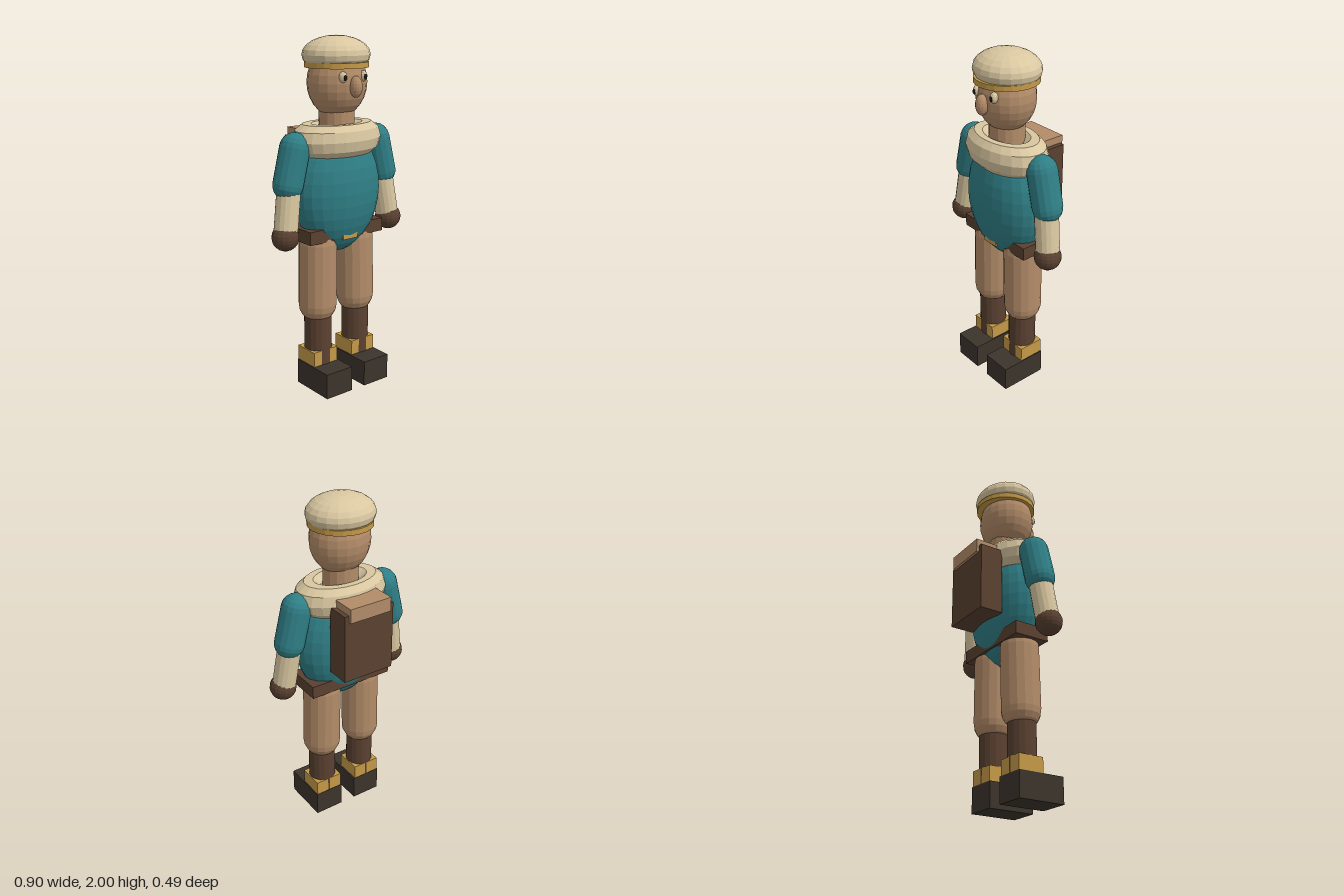
import * as THREE from 'three';

const mat = (name, color) => {
  const m = new THREE.MeshStandardMaterial({ color, flatShading: true });
  m.name = name;
  return m;
};

export function createModel() {
  const root = new THREE.Group();
  root.name = 'traveller';

  const cream = mat('cream wool', 0xd9c7a0);
  const tan = mat('tan', 0xb38c69);
  const teal = mat('teal cloth', 0x2f7f86);
  const brown = mat('brown leather', 0x5a4131);
  const gold = mat('gold', 0xc59a48);
  const sole = mat('dark shoe', 0x3c342c);
  const black = mat('pupil black', 0x201a18);

  const add = (name, geometry, material, x = 0, y = 0, z = 0) => {
    const mesh = new THREE.Mesh(geometry, material);
    mesh.name = name;
    mesh.position.set(x, y, z);
    root.add(mesh);
    return mesh;
  };
  const box = (name, material, x0, x1, y0, y1, z0, z1) =>
    add(name, new THREE.BoxGeometry(x1 - x0, y1 - y0, z1 - z0), material,
      (x0 + x1) / 2, (y0 + y1) / 2, (z0 + z1) / 2);
  const ball = (name, material, [x, y, z], [rx, ry, rz], w = 20, h = 14) =>
    add(name, new THREE.SphereGeometry(1, w, h).scale(rx, ry, rz), material, x, y, z);

  // Limb between two points, either a capsule or a plain cylinder
  const limb = (name, material, a, b, r, round) => {
    const from = new THREE.Vector3(...a), to = new THREE.Vector3(...b);
    const dir = to.clone().sub(from), len = dir.length();
    const geo = round
      ? new THREE.CapsuleGeometry(r, len, 5, 16)
      : new THREE.CylinderGeometry(r, r, len, 16);
    const mesh = add(name, geo, material);
    mesh.position.copy(from).add(to).multiplyScalar(0.5);
    mesh.quaternion.setFromUnitVectors(new THREE.Vector3(0, -1, 0), dir.normalize());
    return mesh;
  };

  // Head and cap
  ball('head', tan, [0, 1.75, 0.045], [0.172, 0.195, 0.157]);
  add('neck', new THREE.CylinderGeometry(0.1, 0.1, 0.16, 16), tan, 0, 1.53, 0.04);
  ball('nose', tan, [0, 1.735, 0.207], [0.035, 0.058, 0.036], 14, 10);
  ball('cap', cream, [0, 1.897, 0.037], [0.194, 0.103, 0.178], 20, 12);
  add('capBand', new THREE.CylinderGeometry(0.178, 0.178, 0.03, 24), gold, 0, 1.845, 0.04);

  // Torso, collar and belt
  ball('tunic', teal, [0, 1.15, 0.047], [0.278, 0.355, 0.168], 24, 16);
  add('collar', new THREE.TorusGeometry(0.19, 0.092, 10, 24).rotateX(Math.PI / 2).scale(1, 1, 0.65),
    cream, 0, 1.443, 0.045);
  box('belt', brown, -0.26, 0.26, 0.885, 0.96, -0.07, 0.142);
  box('buckle', gold, -0.052, 0.052, 0.887, 0.932, 0.12, 0.169);

  // Backpack with its flap
  box('backpack', brown, -0.157, 0.157, 1.04, 1.44, -0.232, -0.093);
  box('backpackFlap', tan, -0.13, 0.13, 1.4, 1.482, -0.247, -0.095);

  for (const [s, side] of [[1, 'left'], [-1, 'right']]) {
    const span = (a, b) => (s > 0 ? [a, b] : [-b, -a]);

    // Eyes
    ball(side + 'Eye', cream, [s * 0.07, 1.787, 0.182], [0.023, 0.03, 0.024], 12, 8);
    ball(side + 'Pupil', black, [s * 0.07, 1.785, 0.2], [0.012, 0.016, 0.009], 10, 8);

    // Arms
    limb(side + 'Sleeve', teal, [s * 0.285, 1.415, 0.04], [s * 0.335, 1.217, 0.042], 0.085, true);
    limb(side + 'Forearm', cream, [s * 0.33, 1.21, 0.045], [s * 0.369, 0.95, 0.062], 0.067, false);
    ball(side + 'Mitten', brown, [s * 0.373, 0.938, 0.066], [0.076, 0.076, 0.076], 16, 12);

    // Legs
    limb(side + 'Trouser', tan, [s * 0.132, 0.86, 0.04], [s * 0.138, 0.5, 0.042], 0.11, true);
    limb(side + 'BootShaft', brown, [s * 0.138, 0.5, 0.044], [s * 0.138, 0.14, 0.046], 0.08, false);
    box(side + 'BootCuff', gold, ...span(0.055, 0.222), 0.14, 0.234, -0.033, 0.12);
    box(side + 'Shoe', sole, ...span(0.047, 0.227), 0, 0.147, -0.035, 0.245);
  }

  return root;
}
